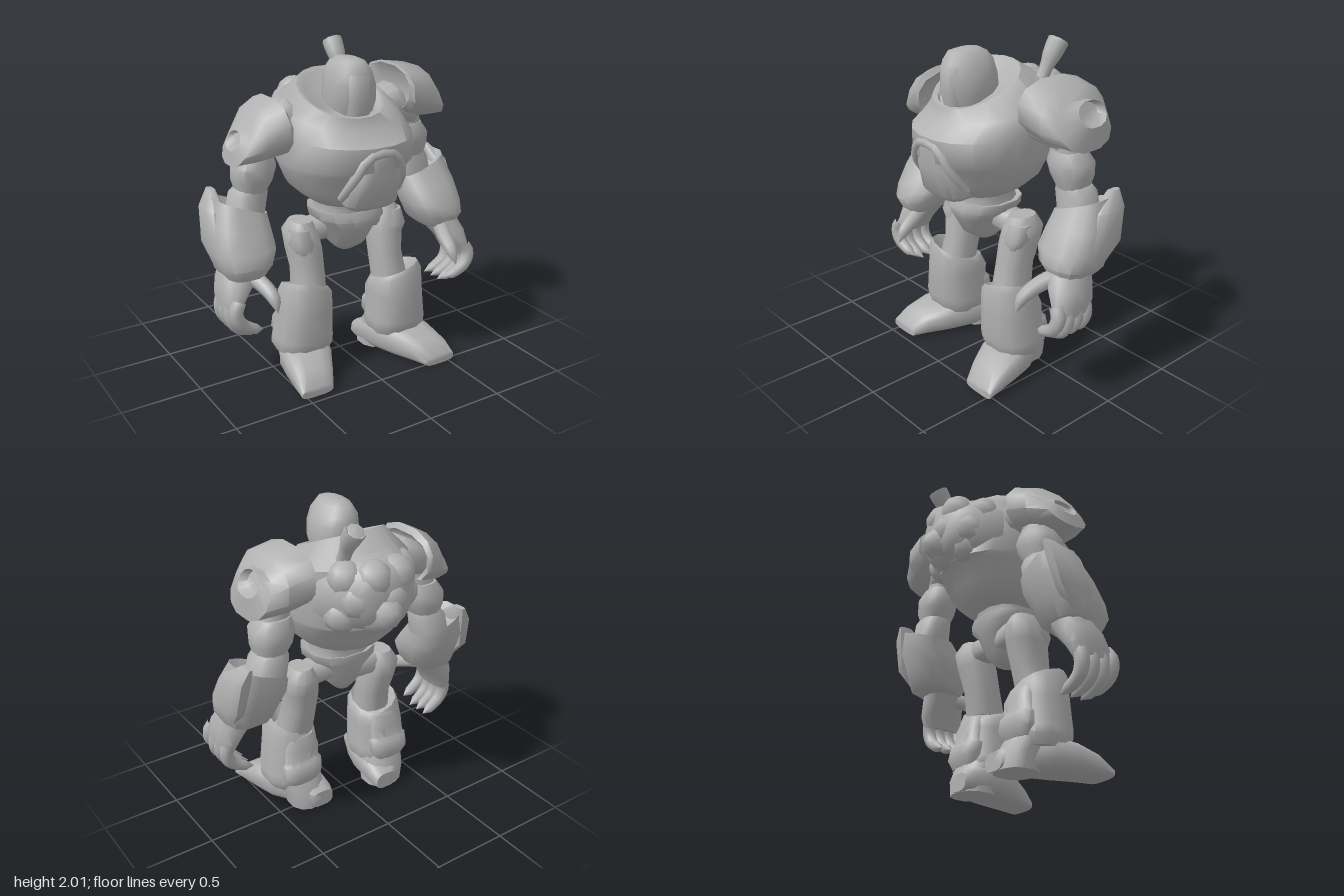
import * as THREE from 'three';
import { toCreasedNormals } from 'three/addons/utils/BufferGeometryUtils.js';

const grey = new THREE.MeshStandardMaterial({ color: 0xb0b0b0 });
grey.name = 'plain grey';

function part(name, geo) {
  const mesh = new THREE.Mesh(geo, grey);
  mesh.name = name;
  return mesh;
}

// Closed skin over rings [a, u, v, ru, rv, tiltU, tiltV]; a runs along the axis.
// p squares the section (2 = ellipse), s = -1 mirrors across x.
function loft(name, rings, { axis = 'y', n = 12, p = 2.4, s = 1, move = [0, 0, 0], crease = 0.9 } = {}) {
  const pts = [], idx = [];
  const put = (a, u, v) => {
    const q = axis === 'y' ? [u, a, v] : axis === 'x' ? [a, v, u] : [u, v, a];
    pts.push(s * (q[0] + move[0]), q[1] + move[1], q[2] + move[2]);
  };
  const pow = (c) => Math.sign(c) * Math.abs(c) ** (2 / p);
  for (const [a, u, v, ru, rv, tu = 0, tv = 0] of rings) {
    for (let i = 0; i < n; i++) {
      const t = ((i + 0.5) / n) * Math.PI * 2;
      const du = ru * pow(Math.cos(t)), dv = rv * pow(Math.sin(t));
      put(a + tu * du + tv * dv, u + du, v + dv);
    }
  }
  const last = rings.length - 1;
  put(...rings[0]);
  put(...rings[last]);
  const c0 = n * rings.length;
  for (let i = 0; i < n; i++) {
    const j = (i + 1) % n;
    for (let r = 0; r < last; r++) {
      const a = r * n + i, b = r * n + j;
      idx.push(a, a + n, b, b, a + n, b + n);
    }
    idx.push(c0, i, j, c0 + 1, last * n + j, last * n + i);
  }
  // turn the faces outward
  const V = (k) => new THREE.Vector3().fromArray(pts, k * 3);
  let volume = 0;
  for (let k = 0; k < idx.length; k += 3) volume += V(idx[k]).dot(V(idx[k + 1]).cross(V(idx[k + 2])));
  if (volume < 0) idx.reverse();
  const geo = new THREE.BufferGeometry();
  geo.setAttribute('position', new THREE.Float32BufferAttribute(pts, 3));
  geo.setIndex(idx);
  return part(name, toCreasedNormals(geo, crease));
}

// Tapered tube through points, with a radius at each evenly spaced stop
function limb(name, points, radii, { s = 1, move = [0, 0, 0] } = {}) {
  const curve = new THREE.CatmullRomCurve3(points.map(([x, y, z]) => new THREE.Vector3(s * (x + move[0]), y + move[1], z + move[2])));
  const seg = 12, sides = 8;
  const geo = new THREE.TubeGeometry(curve, seg, 1, sides);
  const pos = geo.attributes.position, v = new THREE.Vector3();
  for (let k = 0; k < pos.count; k++) {
    const t = Math.floor(k / (sides + 1)) / seg, f = t * (radii.length - 1), i = Math.min(Math.floor(f), radii.length - 2);
    const r = THREE.MathUtils.lerp(radii[i], radii[i + 1], f - i), c = curve.getPointAt(t);
    v.fromBufferAttribute(pos, k).sub(c).multiplyScalar(r).add(c);
    pos.setXYZ(k, v.x, v.y, v.z);
  }
  return part(name, toCreasedNormals(geo, 0.9));
}

function ball(name, x, y, z, r) {
  const mesh = part(name, new THREE.SphereGeometry(r, 9, 7));
  mesh.position.set(x, y, z);
  return mesh;
}

function group(name, ...parts) {
  const g = new THREE.Group();
  g.name = name;
  return g.add(...parts);
}

function body() {
  return group('body',
    // barrel torso with a chest overhang; the last rings sink into a tilted collar
    loft('torso', [
      [1.1, -0.03, 0.09, 0.2, 0.21], [1.14, -0.03, 0.09, 0.26, 0.29], [1.22, -0.03, 0.08, 0.345, 0.355],
      [1.33, -0.03, 0.07, 0.385, 0.405], [1.36, -0.03, 0.08, 0.395, 0.445, 0, 0.03], [1.53, -0.03, 0.085, 0.395, 0.44, 0, -0.04],
      [1.66, -0.03, 0.02, 0.37, 0.37, 0, -0.2], [1.76, -0.06, 0.11, 0.26, 0.255, 0, -0.42],
      [1.75, -0.06, 0.12, 0.225, 0.22, 0, -0.42], [1.72, -0.06, 0.13, 0.2, 0.2, 0, -0.4],
    ], { n: 20, p: 2.1 }),
    loft('bellyPlate', [
      [1.12, -0.025, 0.32, 0.14, 0.12], [1.15, -0.025, 0.32, 0.17, 0.15], [1.32, -0.025, 0.35, 0.15, 0.17],
      [1.45, -0.025, 0.38, 0.1, 0.15],
    ], { p: 4 }),
    limb('bellyArch', [[-0.23, 1.2, 0.38], [-0.19, 1.34, 0.475], [-0.11, 1.46, 0.505],
      [0.05, 1.46, 0.505], [0.13, 1.34, 0.475], [0.17, 1.2, 0.38]], [0.02, 0.028, 0.03, 0.03, 0.028, 0.02]),
    loft('waist', [[1.0, -0.02, 0.08, 0.2, 0.19], [1.07, -0.02, 0.08, 0.18, 0.17], [1.14, -0.02, 0.08, 0.2, 0.2]]),
    loft('pelvis', [
      [0.76, -0.02, 0.07, 0.05, 0.07], [0.82, -0.02, 0.09, 0.11, 0.14], [0.94, -0.02, 0.1, 0.15, 0.2],
      [1.0, -0.02, 0.1, 0.225, 0.22], [1.055, -0.02, 0.09, 0.235, 0.21], [1.04, -0.02, 0.09, 0.19, 0.17],
    ]));
}

function head() {
  return group('head',
    loft('helmet', [
      [1.64, -0.045, 0.16, 0.13, 0.15], [1.74, -0.045, 0.17, 0.15, 0.175], [1.83, -0.045, 0.175, 0.138, 0.178],
      [1.9, -0.055, 0.175, 0.12, 0.17, 0, 0.04], [1.955, -0.06, 0.175, 0.085, 0.13, 0, 0.08], [1.975, -0.06, 0.17, 0.045, 0.075, 0, 0.04],
    ], { p: 2.2 }),
    loft('facePlate', [
      [1.64, -0.055, 0.24, 0.075, 0.1], [1.74, -0.055, 0.245, 0.09, 0.113], [1.88, -0.055, 0.24, 0.095, 0.113],
      [1.94, -0.055, 0.22, 0.07, 0.09],
    ], { p: 2.6 }));
}

function backpack() {
  const g = group('backpack', loft('packCore', [
    [-0.46, -0.01, 1.56, 0.13, 0.14], [-0.42, -0.01, 1.56, 0.2, 0.18], [-0.34, -0.02, 1.55, 0.26, 0.22],
    [-0.22, -0.02, 1.54, 0.33, 0.26], [-0.1, -0.02, 1.53, 0.35, 0.28],
  ], { axis: 'z', p: 2.3 }));
  // low rounded lumps clustered over the back
  for (const [x, y, z, r] of [[-0.11, 1.66, -0.36, 0.115], [0.05, 1.67, -0.37, 0.11], [-0.05, 1.54, -0.38, 0.115],
    [0.13, 1.55, -0.33, 0.12], [-0.17, 1.52, -0.31, 0.12], [0.03, 1.44, -0.36, 0.11], [-0.13, 1.43, -0.3, 0.11],
    [0.17, 1.66, -0.26, 0.11], [-0.22, 1.64, -0.24, 0.11], [0.19, 1.44, -0.25, 0.11]]) g.add(ball('packLump', x, y, z, r));
  g.add(
    loft('packNozzle', [[-0.53, 0.01, 1.47, 0.03, 0.03], [-0.49, 0.01, 1.47, 0.08, 0.08], [-0.38, 0.01, 1.47, 0.12, 0.12]], { axis: 'z', n: 8 }),
    limb('exhaustPipe', [[0.15, 1.68, -0.18], [0.155, 1.78, -0.23], [0.16, 1.88, -0.285], [0.16, 1.975, -0.35]],
      [0.06, 0.055, 0.042, 0.04, 0.04, 0.045, 0.055, 0.06, 0.064, 0.064]),
    limb('exhaustMouth', [[0.16, 1.974, -0.35], [0.16, 1.974, -0.35], [0.16, 1.977, -0.352], [0.16, 1.979, -0.354]], [0.064, 0.05, 0]));
  return g;
}

// both arms follow one pattern; height and hand depth differ a little
function arm(name, s, dy, handZ) {
  const o = { s, move: [0, dy, 0] };
  const h = { s, move: [0, dy, handZ] };
  const g = group(name,
    loft('shoulderJoint', [[0.28, -0.04, 1.6, 0.12, 0.1], [0.38, -0.04, 1.61, 0.15, 0.13], [0.5, -0.05, 1.57, 0.13, 0.11], [0.58, -0.06, 1.52, 0.08, 0.08]], { s, axis: 'x' }),
    loft('upperArm', [[1.4, 0.55, -0.07, 0.09, 0.09], [1.52, 0.52, -0.06, 0.1, 0.09], [1.6, 0.5, -0.06, 0.08, 0.08]], o),
    loft('elbow', [[1.22, 0.58, -0.08, 0.085, 0.09], [1.31, 0.565, -0.08, 0.125, 0.12], [1.39, 0.555, -0.075, 0.135, 0.13], [1.46, 0.54, -0.07, 0.1, 0.1]], o),
    loft('elbowCuff', [[1.08, 0.62, -0.09, 0.12, 0.12], [1.22, 0.59, -0.09, 0.12, 0.11], [1.27, 0.575, -0.08, 0.09, 0.09]], o),
    loft('forearm', [
      [1.1, 0.65, -0.09, 0.1, 0.1, 0.3], [1.16, 0.655, -0.09, 0.165, 0.14, 0.4], [1.04, 0.68, -0.045, 0.185, 0.185, 0.15],
      [0.93, 0.69, 0.015, 0.19, 0.19], [0.83, 0.705, 0.05, 0.16, 0.18, 0, 0.15], [0.78, 0.71, 0.06, 0.12, 0.13],
    ], { ...o, p: 2.8 }),
    loft('forearmFin', [[0.84, 0.82, 0, 0.04, 0.09], [0.96, 0.84, -0.06, 0.05, 0.13], [1.16, 0.815, -0.12, 0.06, 0.11], [1.25, 0.785, -0.19, 0.02, 0.045]], { ...o, n: 8, p: 3 }),
    loft('palm', [[0.83, 0.71, 0.08, 0.12, 0.12], [0.74, 0.755, 0.11, 0.11, 0.14], [0.65, 0.8, 0.13, 0.07, 0.15], [0.58, 0.815, 0.14, 0.05, 0.13]], h),
    limb('thumb', [[0.7, 0.78, 0.13], [0.65, 0.74, 0.25], [0.625, 0.68, 0.36], [0.625, 0.6, 0.41]], [0.055, 0.052, 0.048, 0.044, 0.036, 0], h));
  for (let i = 0; i < 4; i++) {
    const z = 0.045 + i * 0.072, lift = i === 3 ? 0.04 : 0;
    g.add(limb('finger', [
      [0.8, 0.66, z], [0.83, 0.56 + lift, z + 0.01], [0.805, 0.485 + lift, z + 0.015],
      [0.735, 0.435 + lift, z + 0.01], [0.65, 0.405 + lift, z],
    ], [0.042, 0.044, 0.044, 0.042, 0.038, 0.032, 0], h));
  }
  return g;
}

function leg(name, s, dz, dy) {
  const o = { s, move: [0, 0, dz] };
  const upper = { s, move: [0, dy, dz / 2] };
  return group(name,
    loft('hipJoint', [[0.06, 0.06, 0.92, 0.08, 0.08], [0.2, 0.06, 0.92, 0.09, 0.08], [0.3, 0.06, 0.92, 0.06, 0.06]], { ...upper, axis: 'x' }),
    loft('thigh', [
      [0.5, 0.29, 0.14, 0.11, 0.12], [0.68, 0.275, 0.1, 0.1, 0.115], [0.82, 0.285, 0.07, 0.11, 0.125],
      [0.92, 0.295, 0.05, 0.105, 0.125], [0.99, 0.29, 0.05, 0.065, 0.085],
    ], upper),
    loft('thighPlate', [[0.8, 0.31, 0.13, 0.06, 0.06], [0.86, 0.32, 0.12, 0.08, 0.08], [0.95, 0.32, 0.09, 0.065, 0.075]], upper),
    loft('shin', [
      [0.13, 0.325, 0.15, 0.16, 0.15], [0.19, 0.325, 0.15, 0.19, 0.18], [0.24, 0.325, 0.16, 0.185, 0.18], [0.42, 0.315, 0.165, 0.17, 0.175],
      [0.53, 0.31, 0.17, 0.16, 0.165, 0.2, 0.3], [0.57, 0.31, 0.17, 0.135, 0.15, 0.3, 0.3], [0.52, 0.3, 0.16, 0.1, 0.11],
    ], { ...o, p: 2.5 }),
    // stepped plates behind the calf
    loft('calfGuard', [[0.18, 0.32, 0.01, 0.11, 0.05], [0.24, 0.32, 0.01, 0.14, 0.08], [0.32, 0.315, 0.02, 0.14, 0.07], [0.34, 0.315, 0.03, 0.125, 0.055],
      [0.42, 0.31, 0.04, 0.125, 0.065], [0.5, 0.31, 0.06, 0.1, 0.05]], { ...o, p: 2.5 }),
    loft('ankle', [[0, 0.275, 0.03, 0.13, 0.125], [0.1, 0.29, 0.04, 0.14, 0.125], [0.2, 0.31, 0.09, 0.15, 0.12]], o),
    loft('foot', [
      [-0.1, 0.235, 0.055, 0.08, 0.055], [-0.05, 0.25, 0.07, 0.11, 0.07], [0.04, 0.275, 0.09, 0.135, 0.09], [0.16, 0.32, 0.105, 0.175, 0.105],
      [0.3, 0.36, 0.095, 0.165, 0.095], [0.44, 0.405, 0.068, 0.135, 0.068], [0.53, 0.43, 0.03, 0.11, 0.03],
    ], { ...o, axis: 'z', p: 3.2 }));
}

export function createModel() {
  const model = group('armouredRobot', body(), head(), backpack(),
    arm('leftArm', 1, 0, 0), arm('rightArm', -1, -0.05, -0.08),
    leg('leftLeg', 1, 0, 0.01), leg('rightLeg', -1, -0.08, -0.02));
  // the two shoulder shells differ in height and size; the last rings form a recess
  model.add(
    loft('leftShoulderPad', [
      [0.43, -0.05, 1.69, 0.18, 0.1], [0.39, -0.06, 1.71, 0.24, 0.14], [0.41, -0.06, 1.7, 0.275, 0.16, 0, -0.1],
      [0.57, -0.055, 1.67, 0.26, 0.165, 0, -0.05], [0.67, -0.06, 1.63, 0.2, 0.135, 0, -0.45],
      [0.695, -0.09, 1.7, 0.105, 0.07, 0, -0.5], [0.65, -0.09, 1.7, 0.08, 0.05, 0, -0.5],
    ], { axis: 'x', p: 2.4 }),
    loft('rightShoulderPad', [
      [-0.5, 0, 1.57, 0.18, 0.11], [-0.455, 0, 1.58, 0.25, 0.15], [-0.475, 0, 1.595, 0.265, 0.17, 0, -0.05],
      [-0.6, 0, 1.555, 0.22, 0.16, 0, 0.1], [-0.7, 0.01, 1.5, 0.15, 0.11, 0, 0.5],
      [-0.715, 0.0, 1.53, 0.08, 0.055, 0, 0.5], [-0.69, 0.0, 1.53, 0.06, 0.04, 0, 0.5],
    ], { axis: 'x', p: 2.3 }));
  return model;
}
